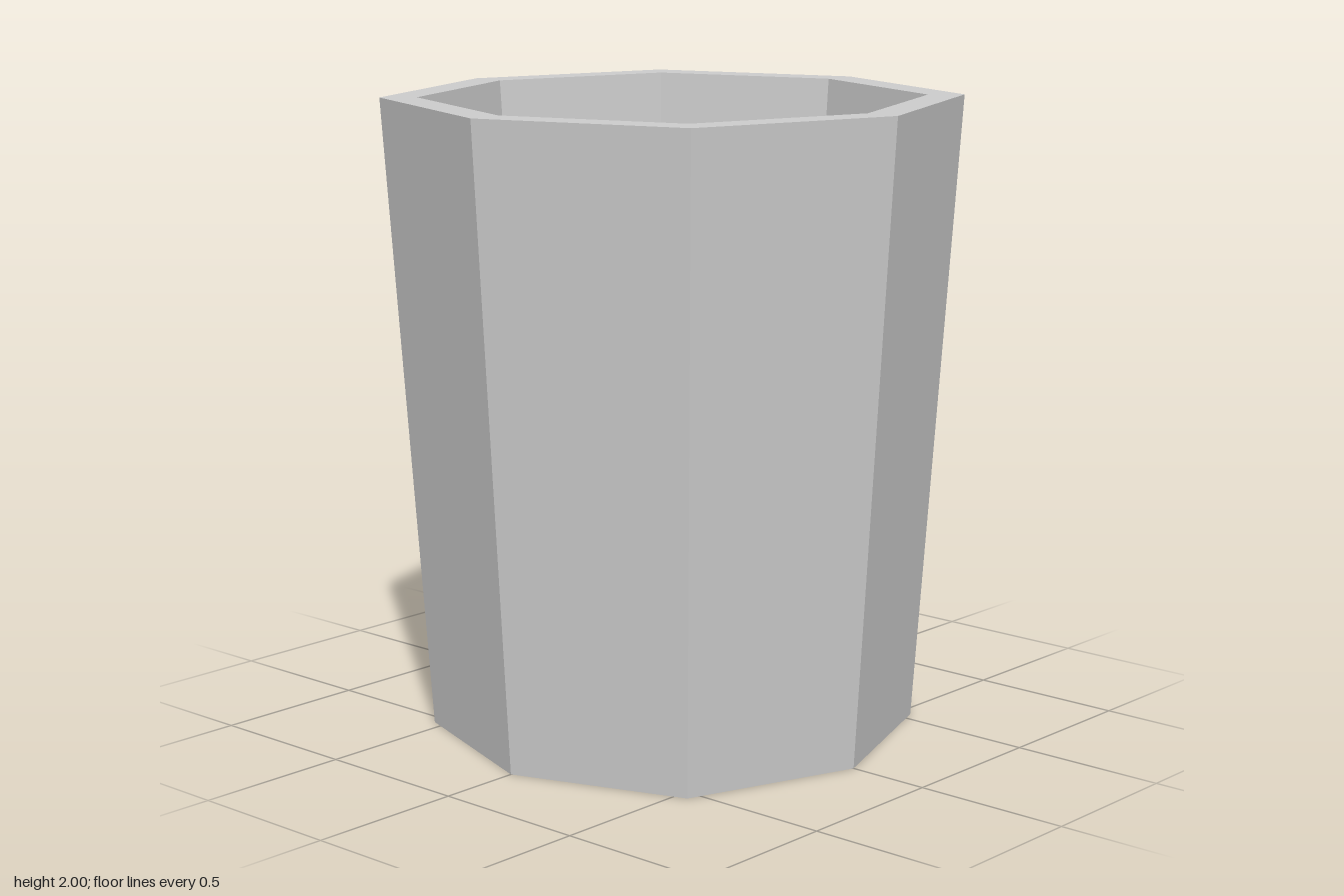
import * as THREE from 'three';

export function createModel() {
  const group = new THREE.Group();

  // Closed cup profile: underside, tapered wall, rim, inner wall, raised floor
  const profile = [
    [0, 0], [0.738, 0], [0.868, 2], [0.758, 2], [0.715, 1.46], [0, 1.46],
  ].map(([r, y]) => new THREE.Vector2(r, y));
  let geometry = new THREE.LatheGeometry(profile, 8);

  // The four diagonal corners sit slightly further out than the axial ones
  const pos = geometry.attributes.position;
  for (let i = 0; i < pos.count; i++) {
    const x = pos.getX(i), z = pos.getZ(i);
    const diagonal = Math.abs(Math.sin(2 * Math.atan2(x, z))) > 0.5;
    const k = diagonal ? 1.038 : 1;
    pos.setXYZ(i, x * k, pos.getY(i), z * k);
  }
  geometry = geometry.toNonIndexed();
  geometry.computeVertexNormals();

  const cup = new THREE.Mesh(
    geometry,
    new THREE.MeshStandardMaterial({ color: 0xcccccc, flatShading: true }),
  );
  cup.name = 'octagonalCup';
  group.add(cup);
  return group;
}
